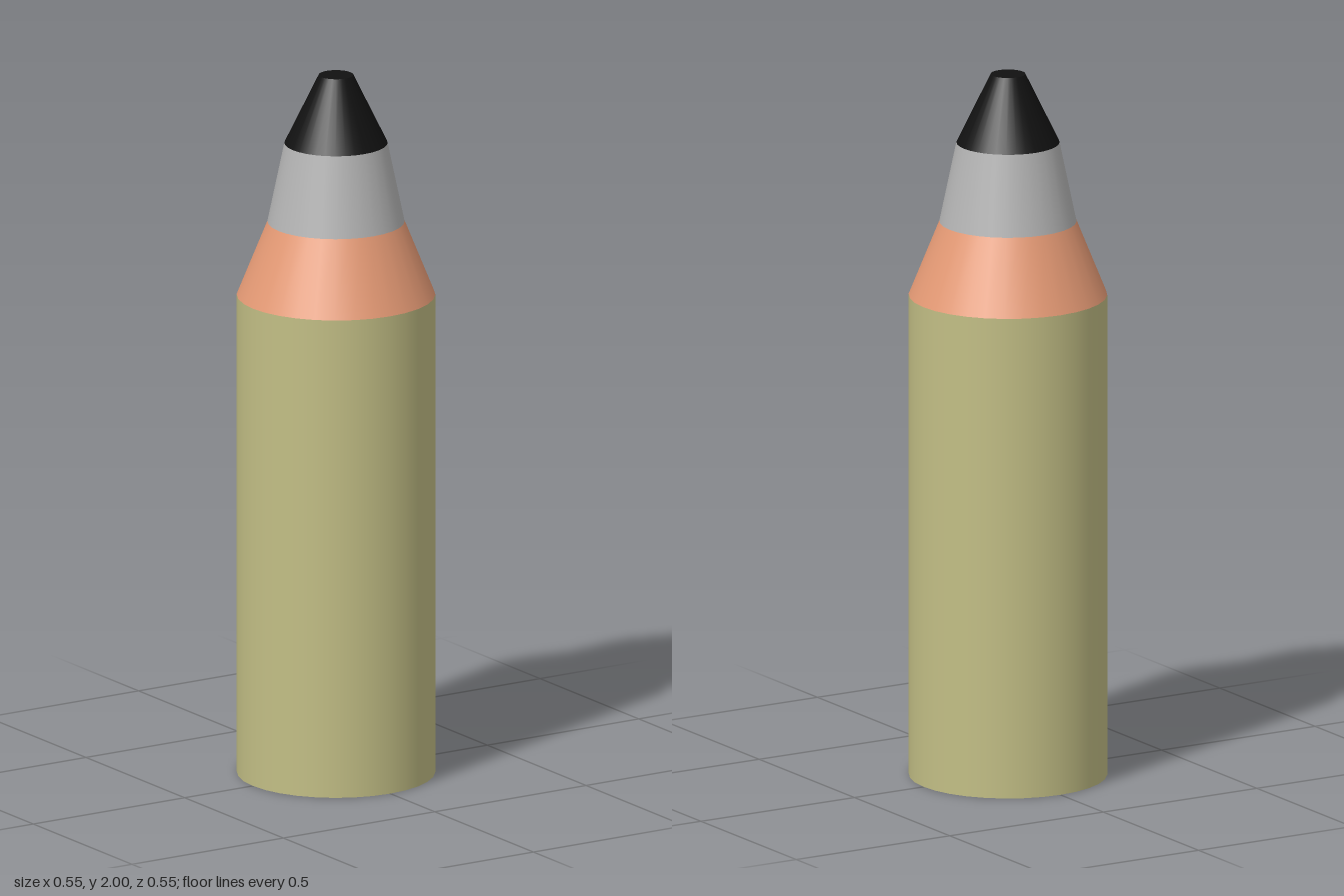
import * as THREE from 'three';

const SIDES = 32;

// One tapering section of the round pencil, standing from y0 to y1
function section(name, color, r0, y0, r1, y1) {
  const geometry = new THREE.CylinderGeometry(r1, r0, y1 - y0, SIDES, 1, true);
  geometry.translate(0, (y0 + y1) / 2, 0);
  const mesh = new THREE.Mesh(geometry, new THREE.MeshStandardMaterial({ color, side: THREE.DoubleSide }));
  mesh.name = name;
  return mesh;
}

// Flat round end, facing up or down
function endCap(name, color, radius, y, up) {
  const geometry = new THREE.CircleGeometry(radius, SIDES);
  geometry.rotateX(up ? -Math.PI / 2 : Math.PI / 2);
  geometry.translate(0, y, 0);
  const mesh = new THREE.Mesh(geometry, new THREE.MeshStandardMaterial({ color }));
  mesh.name = name;
  return mesh;
}

export function createModel() {
  const paint = 0xc2be85, wood = 0xe59a75, grey = 0xb4b4b4, lead = 0x111111;
  const pencil = new THREE.Group();
  pencil.name = 'pencil';
  pencil.add(
    // painted barrel with bare wood at its foot
    endCap('woodBase', wood, 0.275, 0, false),
    section('barrel', paint, 0.275, 0, 0.275, 1.37),
    // sharpened end
    section('woodCone', wood, 0.275, 1.37, 0.19, 1.58),
    section('greyCollar', grey, 0.19, 1.58, 0.143, 1.805),
    section('leadTip', lead, 0.143, 1.805, 0.048, 2),
    endCap('leadEnd', lead, 0.048, 2, true),
  );
  return pencil;
}
